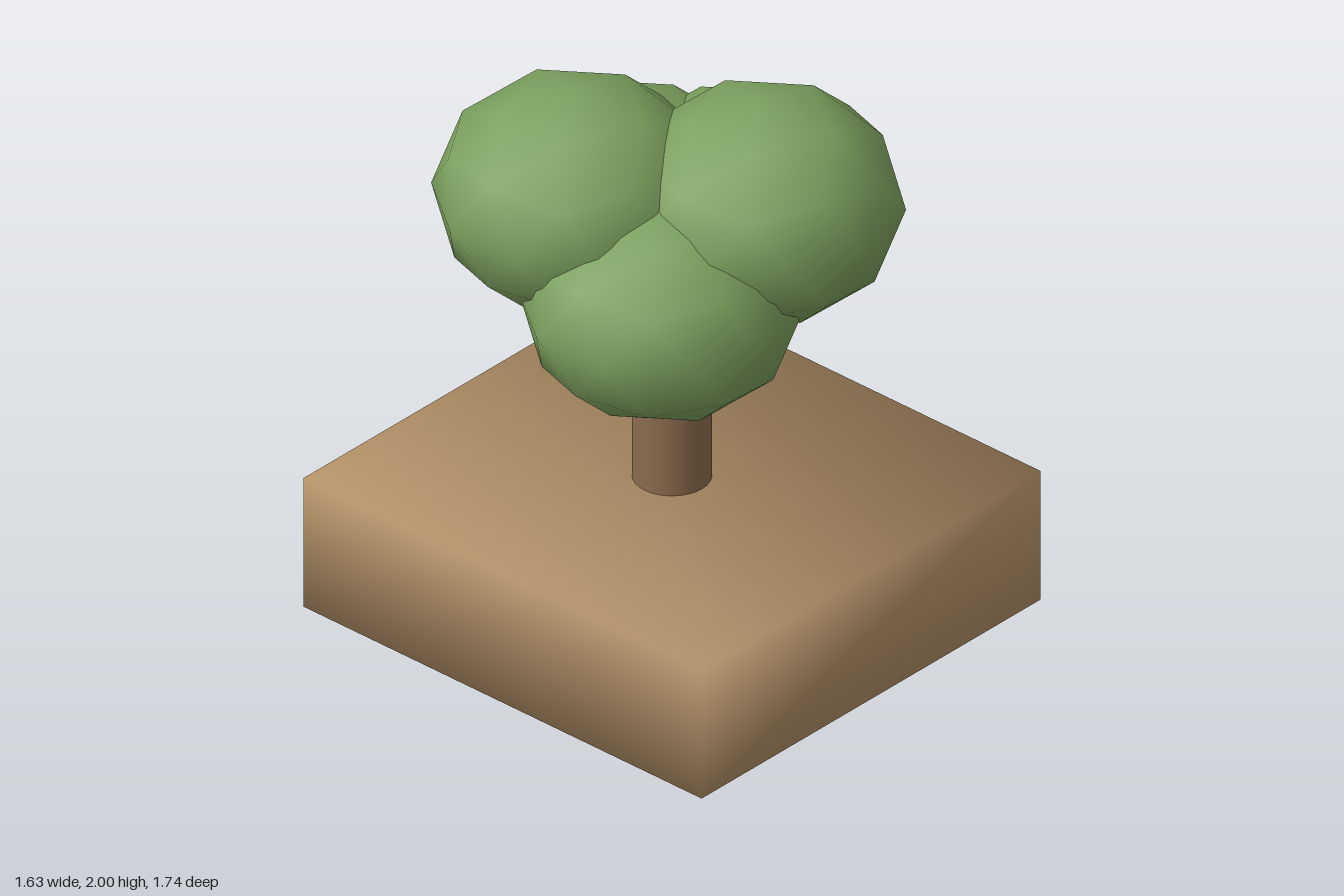
import * as THREE from 'three';
import { mergeVertices } from 'three/addons/utils/BufferGeometryUtils.js';

export function createModel() {
  const model = new THREE.Group();
  model.name = 'treeOnBlock';

  const earth = new THREE.MeshStandardMaterial({ name: 'earth', color: 0xb8956a });
  const bark = new THREE.MeshStandardMaterial({ name: 'bark', color: 0x8b6b4e });
  const leaf = new THREE.MeshStandardMaterial({ name: 'leaf', color: 0x7ca05e });

  function add(name, geometry, material, x, y, z) {
    const mesh = new THREE.Mesh(geometry, material);
    mesh.name = name;
    mesh.position.set(x, y, z);
    model.add(mesh);
  }

  // Ground block: corners welded, with smooth diagonal corner normals
  let block = new THREE.BoxGeometry(1.63, 0.49, 1.735);
  block.deleteAttribute('normal');
  block.deleteAttribute('uv');
  block = mergeVertices(block);
  const corners = block.attributes.position;
  const normals = [];
  for (let i = 0; i < corners.count; i++) {
    const n = new THREE.Vector3(
      Math.sign(corners.getX(i)), Math.sign(corners.getY(i)), Math.sign(corners.getZ(i)));
    normals.push(...n.normalize().toArray());
  }
  block.setAttribute('normal', new THREE.Float32BufferAttribute(normals, 3));
  add('groundBlock', block, earth, 0, 0.245, 0);

  // Trunk, sunk into the block and reaching into the foliage
  add('trunk', new THREE.CylinderGeometry(0.13, 0.13, 1.28, 32), bark, 0, 0.66, 0);

  // Foliage: five flattened icospheres standing on a vertex
  const puff = new THREE.IcosahedronGeometry(1, 1);
  puff.rotateZ(-Math.atan(2 / (1 + Math.sqrt(5))));
  puff.scale(0.465, 0.387, 0.465);
  const puffs = [
    ['upperFrontFoliage', 0.1, 1.613, 0.305],
    ['upperBackFoliage', -0.26, 1.613, -0.19],
    ['lowerFrontFoliage', -0.26, 1.358, 0.19],
    ['lowerBackFoliage', 0.1, 1.358, -0.305],
    ['lowerSideFoliage', 0.32, 1.358, 0],
  ];
  for (const [name, x, y, z] of puffs) add(name, puff, leaf, x, y, z);

  return model;
}
